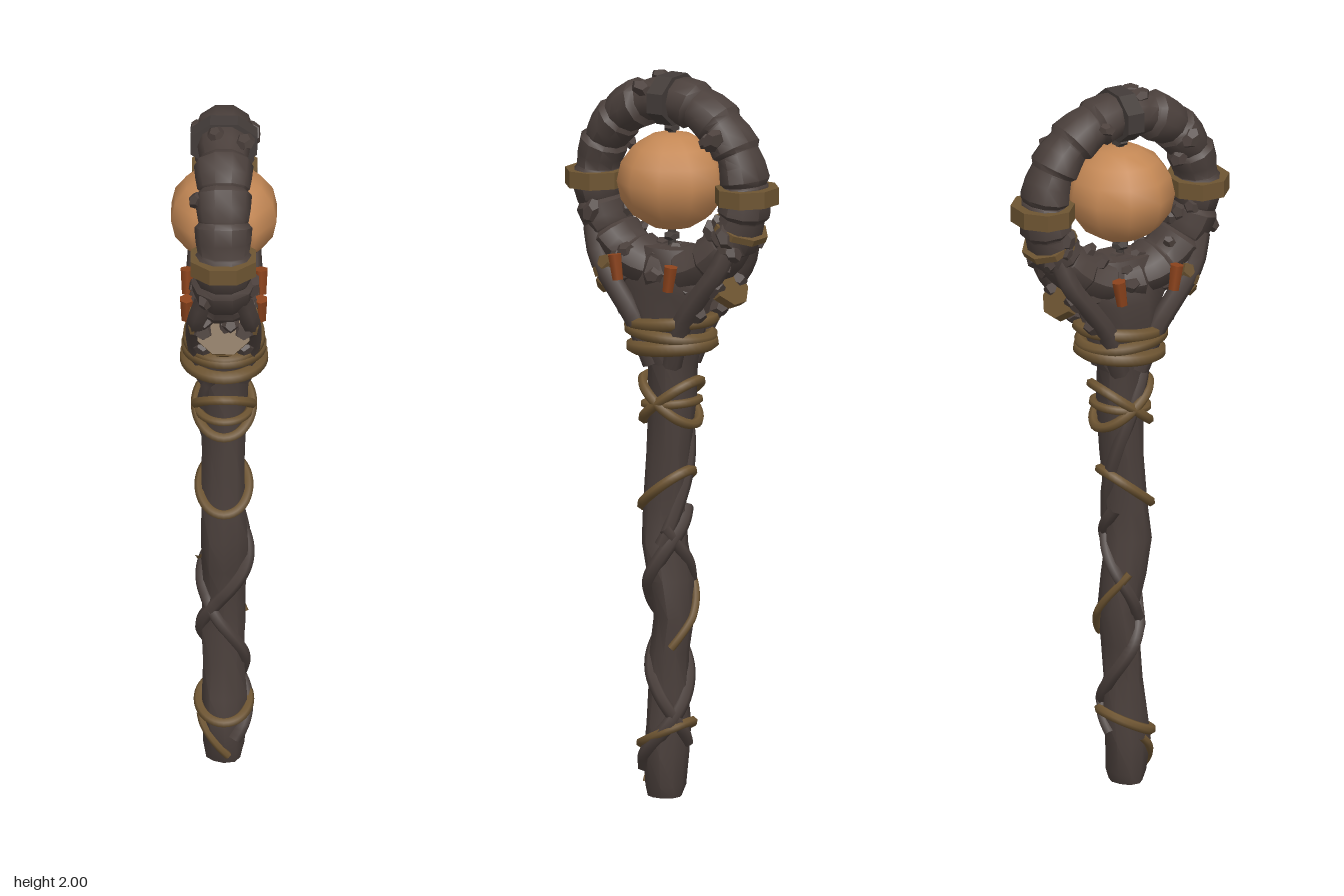
import * as THREE from 'three';
import { toCreasedNormals } from 'three/addons/utils/BufferGeometryUtils.js';

const material = (name, color) => {
  const m = new THREE.MeshStandardMaterial({ color });
  m.name = name;
  return m;
};

// Skin between rows of points; rows turn counter-clockwise about the direction of travel.
function loft(rows, closed) {
  const n = rows[0].length, m = rows.length, pos = rows.flat(2), idx = [];
  for (let i = 0; i < (closed ? m : m - 1); i++) {
    const k = (i + 1) % m;
    for (let j = 0; j < n; j++) {
      const l = (j + 1) % n;
      const a = i * n + j, b = i * n + l, c = k * n + l, d = k * n + j;
      idx.push(a, b, d, b, c, d);
    }
  }
  if (!closed) {
    for (let j = 1; j < n - 1; j++) {
      const t = (m - 1) * n;
      idx.push(0, j + 1, j, t, t + j, t + j + 1);
    }
  }
  const g = new THREE.BufferGeometry();
  g.setAttribute('position', new THREE.Float32BufferAttribute(pos, 3));
  g.setIndex(idx);
  g.computeVertexNormals();
  return toCreasedNormals(g, 0.75);
}

// Shaft profile: height, centre z, half width in x, half depth in z
const SHAFT = [
  [0, 0.02, 0.048, 0.045], [0.03, 0.02, 0.056, 0.055], [0.12, 0.022, 0.062, 0.062],
  [0.2, 0.012, 0.062, 0.06], [0.3, 0.01, 0.056, 0.052], [0.4, 0.005, 0.062, 0.05],
  [0.5, -0.006, 0.058, 0.054], [0.6, 0.008, 0.066, 0.06], [0.7, 0.024, 0.064, 0.062],
  [0.8, 0.02, 0.06, 0.058], [0.95, 0.008, 0.06, 0.06], [1.1, 0, 0.064, 0.066],
  [1.2, 0.002, 0.068, 0.068], [1.27, 0, 0.08, 0.09], [1.34, 0.005, 0.085, 0.115],
  [1.4, 0, 0.086, 0.14], [1.46, 0, 0.084, 0.15], [1.52, 0, 0.062, 0.1],
];
function shaftAt(y) {
  let i = 0;
  while (i < SHAFT.length - 2 && SHAFT[i + 1][0] < y) i++;
  const a = SHAFT[i], b = SHAFT[i + 1], t = (y - a[0]) / (b[0] - a[0]);
  return a.map((v, k) => THREE.MathUtils.lerp(v, b[k], t));
}

const RING_Y = 1.69, RING_R = 0.236;

export function createModel() {
  const bark = material('dark bark', 0x4b403c);
  const cordMat = material('tan cord', 0x6e5532);
  const orbMat = material('amber orb', 0xc48855);
  const gemMat = material('rust gem', 0x8c431c);
  const iron = material('dark collar', 0x433c39);
  const root = new THREE.Group();
  root.name = 'staff';
  let seed = 7;
  const rnd = () => (seed = (seed * 16807) % 2147483647) / 2147483647;

  const add = (name, geo, mat, p = [0, 0, 0], r = [0, 0, 0], s = [1, 1, 1]) => {
    const mesh = new THREE.Mesh(geo, mat);
    mesh.name = name;
    mesh.position.set(...p);
    mesh.rotation.set(...r);
    mesh.scale.set(...s);
    root.add(mesh);
    return mesh;
  };

  // Knotted shaft, flaring into the head
  add('shaft', loft(SHAFT.map(([y, cz, rx, rz], i) => Array.from({ length: 10 }, (_, j) => {
    const a = j / 10 * Math.PI * 2;
    const k = 1 + 0.06 * Math.sin(3 * a + i * 1.3);
    return [rx * k * Math.sin(a), y, cz + rz * k * Math.cos(a)];
  }))), bark);

  // Ring of overlapping bark plates
  const ringRows = [];
  const PLATES = 17;
  for (let i = 0; i < PLATES; i++) {
    const swell = 0.94 + 0.1 * rnd();
    for (const [f, k] of [[0, 0.9], [0.15, 1.06], [0.6, 1], [0.95, 0.92]]) {
      const t = (i + f) / PLATES * Math.PI * 2;
      const rx = (0.08 - 0.007 * Math.cos(t)) * k * swell, rn = 0.064 * k * swell;
      ringRows.push(Array.from({ length: 10 }, (_, j) => {
        const a = j / 10 * Math.PI * 2;
        const r = RING_R + rn * Math.sin(a);
        return [rx * Math.cos(a), RING_Y + r * Math.cos(t), r * Math.sin(t)];
      }));
    }
  }
  add('headRing', loft(ringRows, true), bark);

  // Bark chips on the ring, denser toward the bottom
  const chip = new THREE.DodecahedronGeometry(1);
  for (let i = 0; i < 44; i++) {
    const t = i < 30 ? Math.PI + (rnd() - 0.5) * 2.6 : rnd() * Math.PI * 2;
    const a = rnd() * Math.PI * 2, s = 0.018 + 0.012 * rnd();
    const r = RING_R + 0.058 * Math.sin(a);
    add('barkChip', chip, bark, [0.074 * Math.cos(a), RING_Y + r * Math.cos(t), r * Math.sin(t)],
      [-t, 0, rnd()], [s, s * 0.8, s * 1.3]);
  }

  // Roots climbing from the shaft to the ring
  for (const sx of [-1, 1]) for (const sz of [-1, 1]) {
    const path = new THREE.CatmullRomCurve3([
      [0.05, 1.2, 0.03], [0.07, 1.32, 0.075], [0.075, 1.4, 0.13], [0.07, 1.48, 0.19], [0.05, 1.56, 0.22],
    ].map(([x, y, z]) => new THREE.Vector3(sx * x, y, sz * z)));
    add('root', new THREE.TubeGeometry(path, 12, 0.028, 6), bark);
    add('rootKnot', chip, bark, [sx * 0.055, 1.35, sz * 0.115], [0.4, 0, 0], [0.028, 0.025, 0.03]);
    add('rootKnot', chip, bark, [sx * 0.055, 1.43, sz * 0.17], [0.8, 0, 0], [0.034, 0.03, 0.032]);
  }

  // Spiral wrapped on the shaft
  const spiral = (name, y0, y1, a0, turns, r, mat, lift) => {
    const pts = Array.from({ length: 25 }, (_, i) => {
      const t = i / 24, [y, cz, rx, rz] = shaftAt(y0 + (y1 - y0) * t);
      const a = a0 + turns * t * Math.PI * 2;
      return new THREE.Vector3((rx + lift) * Math.sin(a), y, cz + (rz + lift) * Math.cos(a));
    });
    add(name, new THREE.TubeGeometry(new THREE.CatmullRomCurve3(pts), 60, r, 6), mat);
  };
  spiral('vine', 0.08, 0.8, 0.5, 1.5, 0.02, bark, -0.002);
  spiral('vine', 0.15, 0.75, 3.4, -1.2, 0.018, bark, -0.002);
  spiral('vine', 0.7, 1.22, 2, 0.6, 0.02, bark, -0.008);
  spiral('thinCord', 0.42, 0.62, 2.2, 0.35, 0.011, cordMat, 0.008);
  spiral('thinCord', 0.03, 0.14, 0.2, -0.25, 0.011, cordMat, 0.002);

  // Closed cord loops; tilt raises the back
  const loop = (y, tilt, r, lift = 0.006) => {
    const pts = Array.from({ length: 14 }, (_, i) => {
      const a = i / 14 * Math.PI * 2, h = y - tilt * Math.cos(a);
      const [, cz, rx, rz] = shaftAt(h);
      return new THREE.Vector3((rx + lift) * Math.sin(a), h, cz + (rz + lift) * Math.cos(a));
    });
    add('cordLoop', new THREE.TubeGeometry(new THREE.CatmullRomCurve3(pts, true), 40, r, 6, true), cordMat);
  };
  loop(0.175, 0.035, 0.014);
  loop(0.85, 0.055, 0.014);
  loop(1.095, 0.06, 0.014, 0.012);
  loop(1.095, -0.06, 0.014, 0.012);
  loop(1.09, 0.008, 0.012, 0.008);
  loop(1.25, 0.008, 0.02, 0.025);
  loop(1.285, -0.01, 0.018, 0.018);
  loop(1.315, 0.012, 0.018, 0.012);

  // Cord bands at the ring's sides and a collar at its top
  const band = new THREE.CylinderGeometry(0.09, 0.09, 0.046, 8).rotateY(Math.PI / 8);
  const bandGeo = toCreasedNormals(band, 0.5);
  for (const s of [-1, 1]) {
    add('ringBand', bandGeo, cordMat, [0, 1.685, s * 0.24], [0, 0, 0], [1.06, 1, 0.95]);
    add('ringStrap', bandGeo, cordMat, [0, 1.43, s * 0.175], [s * (Math.PI / 2 - 0.6), 0, 0], [0.85, 0.5, 0.75]);
  }
  add('lowerStrap', bandGeo, cordMat, [0, 1.59, -0.218], [-0.43, 0, 0], [0.98, 0.4, 0.84]);
  add('topCollar', bandGeo, iron, [0, 1.925, 0], [Math.PI / 2, 0, 0], [1.08, 1.08, 0.8]);

  // Orb held between two pegs
  add('orb', new THREE.SphereGeometry(0.15, 10, 8), orbMat, [0, 1.7, 0], [0, Math.PI / 2, 0], [1, 0.9, 1]);
  for (const s of [-1, 1]) {
    add('peg', new THREE.CylinderGeometry(0.012, 0.012, 0.07, 6), iron, [0, 1.697 + s * 0.155, 0]);
    add('pegKnob', chip, iron, [0, 1.697 + s * 0.15, 0], [0, 0, 0], [0.026, 0.014, 0.026]);
  }

  // Hanging gems and a small tan leaf on both faces
  const gem = new THREE.CylinderGeometry(0.02, 0.016, 0.07, 6);
  for (const s of [-1, 1]) {
    add('gem', gem, gemMat, [s * 0.1, 1.465, 0.115], [0.15, 0, 0]);
    add('gem', gem, gemMat, [s * 0.1, 1.45, -0.055], [-0.15, 0, 0]);
    add('leaf', chip, cordMat, [s * 0.085, 1.46, 0.17], [-0.5, 0, 0], [0.014, 0.04, 0.025]);
  }
  add('frontKnot', chip, cordMat, [0, 1.345, 0.13], [0, 0, 0], [0.034, 0.024, 0.02]);
  return root;
}
